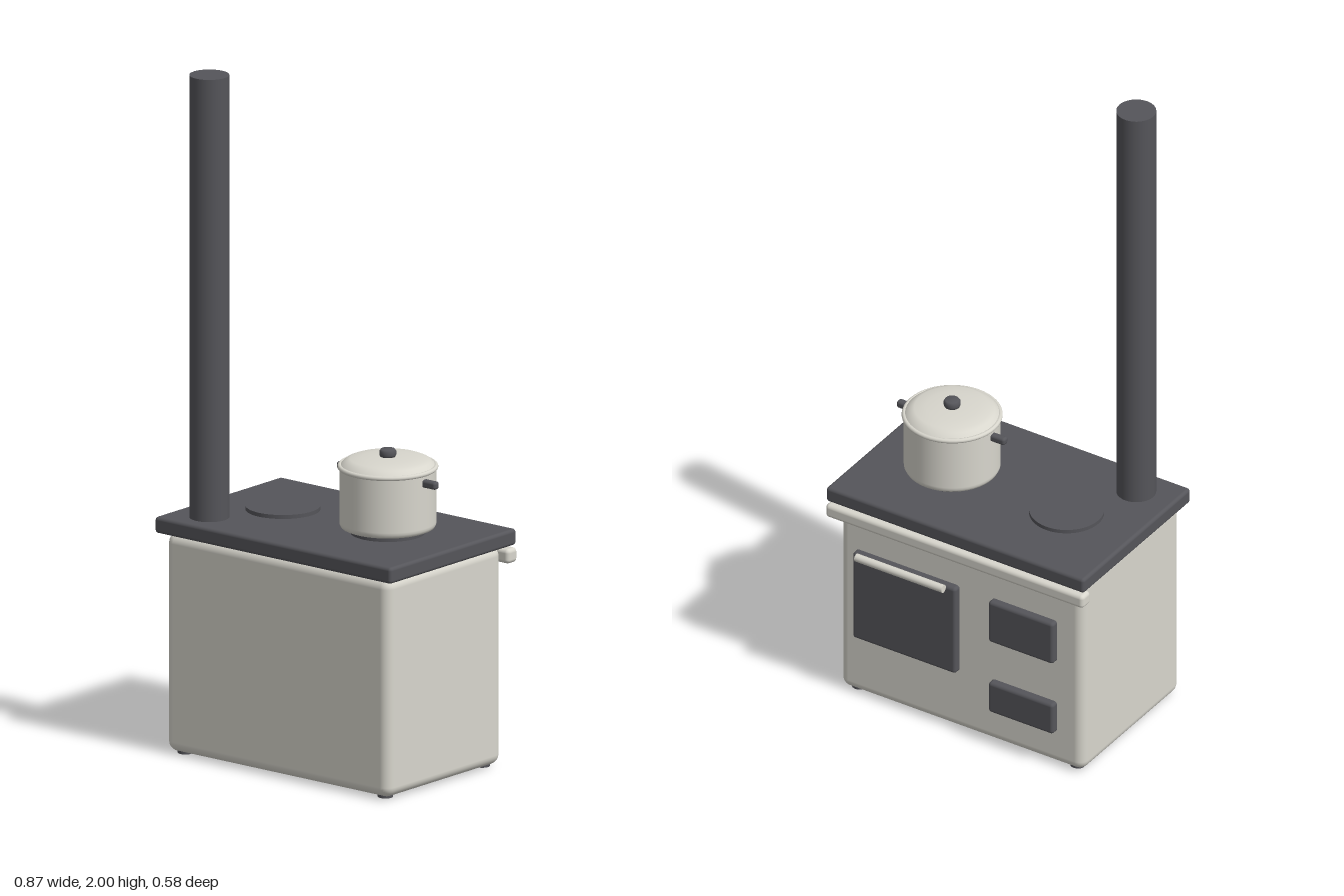
import * as THREE from 'three';
import { RoundedBoxGeometry } from 'three/addons/geometries/RoundedBoxGeometry.js';

export function createModel() {
  const stove = new THREE.Group();
  stove.name = 'stove';

  const enamel = new THREE.MeshStandardMaterial({ color: 0xd8d6cd });
  enamel.name = 'warm grey enamel';
  const iron = new THREE.MeshStandardMaterial({ color: 0x55555a });
  iron.name = 'dark iron';

  function add(parent, name, geometry, material, x = 0, y = 0, z = 0) {
    const mesh = new THREE.Mesh(geometry, material);
    mesh.name = name;
    mesh.position.set(x, y, z);
    parent.add(mesh);
    return mesh;
  }

  // Rounded box given by its extents on each axis
  function box(name, material, [x0, x1], [y0, y1], [z0, z1], radius) {
    const geometry = new RoundedBoxGeometry(x1 - x0, y1 - y0, z1 - z0, 4, radius);
    return add(stove, name, geometry, material, (x0 + x1) / 2, (y0 + y1) / 2, (z0 + z1) / 2);
  }

  function lathe(parent, name, material, points) {
    const profile = points.map(([r, y]) => new THREE.Vector2(r, y));
    return add(parent, name, new THREE.LatheGeometry(profile, 48), material);
  }

  // Cabinet and cooking top
  box('body', enamel, [-0.413, 0.413], [0.006, 0.65], [-0.24, 0.27], 0.03);
  box('cooktop', iron, [-0.437, 0.437], [0.648, 0.696], [-0.274, 0.288], 0.01);
  box('towelRail', enamel, [-0.437, 0.437], [0.597, 0.64], [-0.279, -0.235], 0.012);

  // Small feet under the corners
  for (const x of [-0.37, 0.37]) {
    for (const z of [-0.2, 0.23]) {
      add(stove, 'foot', new THREE.CylinderGeometry(0.022, 0.022, 0.03, 20), iron, x, 0.015, z);
    }
  }

  // Doors on the working side
  const doorDepth = [-0.263, -0.225];
  box('ovenDoor', iron, [0.005, 0.355], [0.205, 0.497], doorDepth, 0.01);
  box('fireDoor', iron, [-0.325, -0.105], [0.358, 0.497], doorDepth, 0.01);
  box('ashDoor', iron, [-0.325, -0.105], [0.118, 0.22], doorDepth, 0.01);
  const bar = add(stove, 'ovenHandle', new THREE.CylinderGeometry(0.012, 0.012, 0.296, 20), enamel, 0.18, 0.5, -0.282);
  bar.rotation.z = Math.PI / 2;

  // Hot plates and flue pipe
  for (const x of [-0.208, 0.18]) {
    add(stove, 'hotPlate', new THREE.CylinderGeometry(0.107, 0.107, 0.015, 48), iron, x, 0.7, -0.009);
  }
  add(stove, 'fluePipe', new THREE.CylinderGeometry(0.057, 0.057, 1.31, 40), iron, -0.315, 1.345, 0.19);

  // Cooking pot
  const pot = new THREE.Group();
  pot.name = 'pot';
  pot.position.set(0.18, 0, -0.009);
  stove.add(pot);
  lathe(pot, 'potBody', enamel, [[0, 0.711], [0.125, 0.711], [0.134, 0.715], [0.138, 0.723], [0.138, 0.73], [0.138, 0.89]]);
  const rim = add(pot, 'potRim', new THREE.TorusGeometry(0.137, 0.007, 12, 48), enamel, 0, 0.891, 0);
  rim.rotation.x = Math.PI / 2;
  lathe(pot, 'lid', enamel, [[0.138, 0.893], [0.132, 0.899], [0.122, 0.908], [0.108, 0.914], [0.075, 0.918], [0.035, 0.92], [0, 0.92]]);

  // Lid knob and side handles
  lathe(pot, 'lidKnob', iron, [[0.014, 0.912], [0.015, 0.918], [0.022, 0.92], [0.024, 0.926], [0.024, 0.936], [0.02, 0.942], [0, 0.943]]);
  for (const side of [-1, 1]) {
    add(pot, 'potHandle', new RoundedBoxGeometry(0.058, 0.023, 0.023, 4, 0.008), iron, side * 0.154, 0.864, 0);
  }

  return stove;
}
